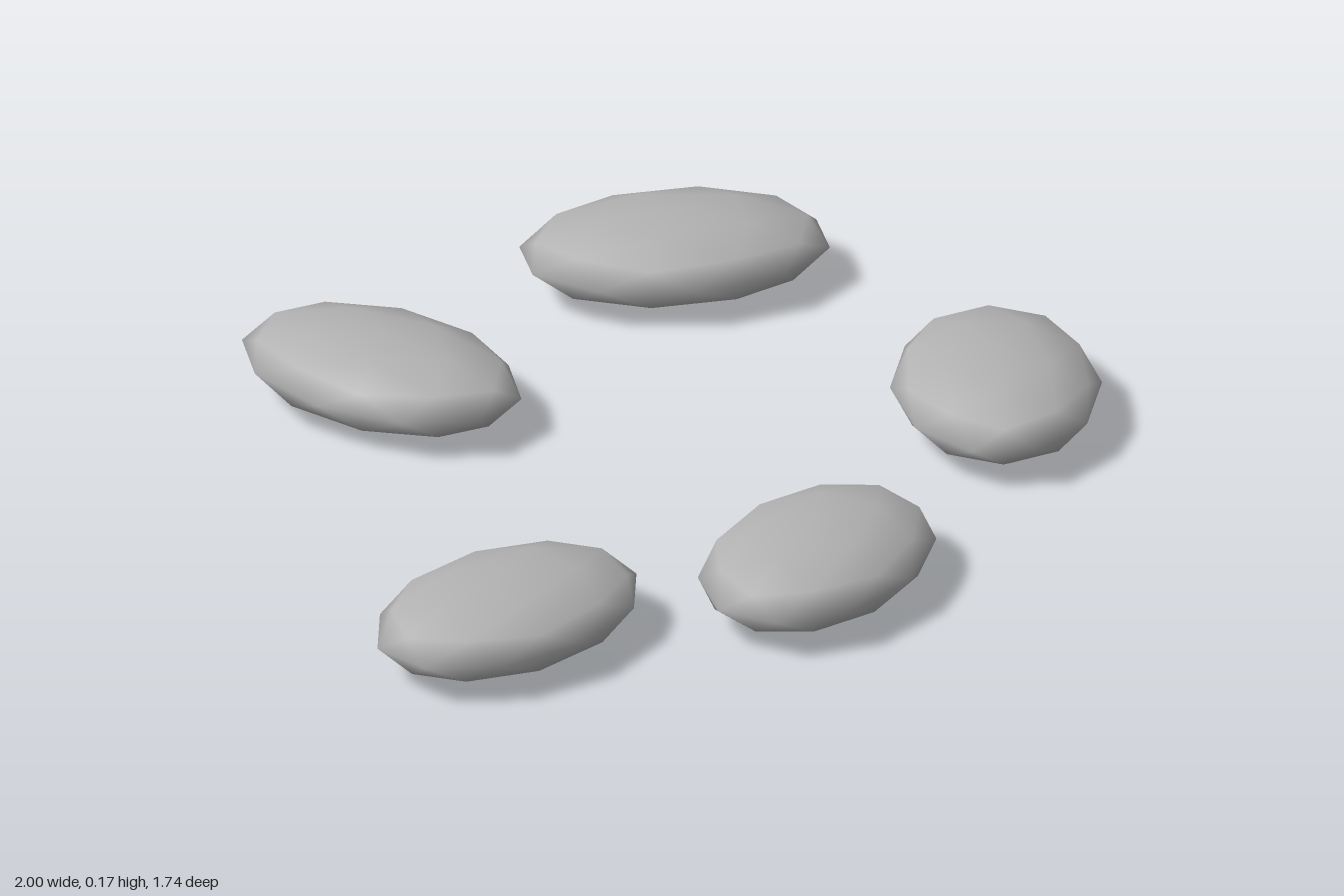
import * as THREE from 'three';

export function createModel() {
  const group = new THREE.Group();
  group.name = 'steppingStones';

  const stoneGrey = new THREE.MeshStandardMaterial({ color: 0xb2b2b2 });
  stoneGrey.name = 'stoneGrey';

  // Coarse smooth ball with a corner at each pole, flattened into a long pebble
  const pebble = new THREE.IcosahedronGeometry(1, 1);
  pebble.rotateZ(Math.atan(2 / (1 + Math.sqrt(5))));
  pebble.scale(0.317, 0.085, 0.211);

  // x, z and turn of each stone
  const stones = [
    [-0.697, 0.375, 0],
    [-0.095, 0.648, 0.3],
    [-0.088, -0.567, 1.68],
    [0.714, -0.537, -0.59],
    [0.714, 0.355, 0.83],
  ];
  stones.forEach(([x, z, turn], i) => {
    const stone = new THREE.Mesh(pebble, stoneGrey);
    stone.name = `stone${i + 1}`;
    stone.position.set(x, 0.085, z);
    stone.rotation.y = turn;
    group.add(stone);
  });

  return group;
}
